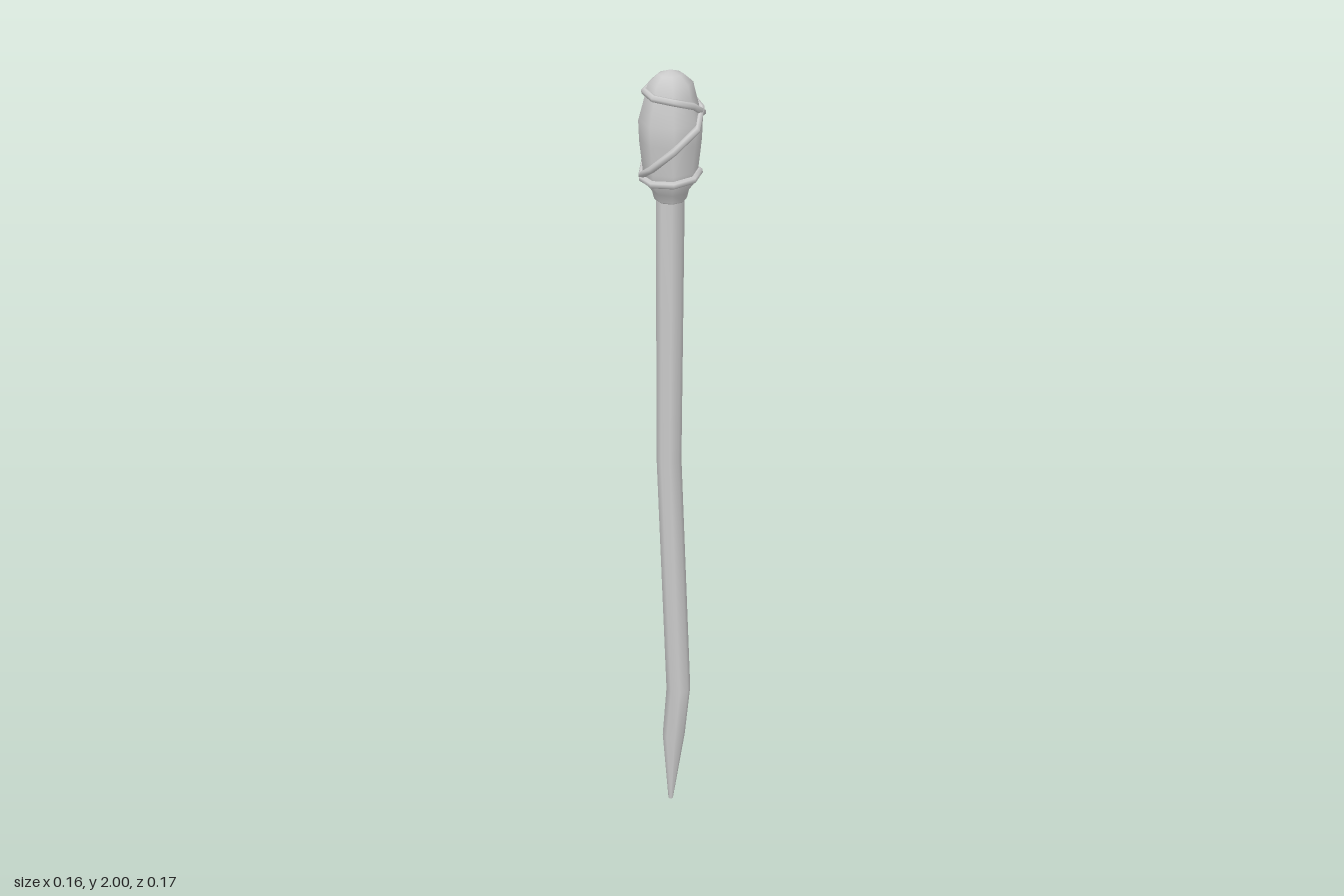
import * as THREE from 'three';
import { mergeVertices } from 'three/addons/utils/BufferGeometryUtils.js';

const SIDES = 8;
const material = new THREE.MeshStandardMaterial({ color: 0xcccccc, side: THREE.DoubleSide });

// Rows run from bottom to top: [height, radius, sideways shift of the centre]
function bentLathe(name, rows) {
  const profile = rows.map(([y, r]) => new THREE.Vector2(r, y));
  let geo = new THREE.LatheGeometry(profile, SIDES);
  const pos = geo.attributes.position;
  for (let i = 0; i < pos.count; i++) {
    pos.setX(i, pos.getX(i) + (rows[i % rows.length][2] || 0));
  }
  geo.deleteAttribute('uv');
  geo.deleteAttribute('normal');
  geo = mergeVertices(geo, 1e-5);
  geo.computeVertexNormals();
  const mesh = new THREE.Mesh(geo, material);
  mesh.name = name;
  return mesh;
}

// Radius of a profile at a given height
function radiusAt(rows, y) {
  for (let i = 1; i < rows.length; i++) {
    const [y0, r0] = rows[i - 1], [y1, r1] = rows[i];
    if (y <= y1) return r0 + (r1 - r0) * (y - y0) / (y1 - y0);
  }
  return 0;
}

export function createModel() {
  const group = new THREE.Group();
  group.name = 'torch';

  // Crooked stick, sharpened at the foot
  group.add(bentLathe('shaft', [
    [0, 0, 0], [0.003, 0.006, 0], [0.2, 0.029, 0.008], [0.34, 0.031, 0.02],
    [1.0, 0.031, -0.004], [1.4, 0.033, -0.002], [1.72, 0.034, 0],
  ]));

  // Wrapped head with a narrow collar and a domed top
  const head = [
    [1.68, 0.033], [1.685, 0.039], [1.705, 0.044], [1.73, 0.064], [1.76, 0.066], [1.83, 0.074],
    [1.88, 0.076], [1.94, 0.06], [1.97, 0.053], [1.99, 0.03], [2.0, 0],
  ];
  group.add(bentLathe('head', head));

  // One cord: a ring at the base, up across the front, round the top, down the back.
  // Heights are at eighth turns, going left, front, right, back.
  const heights = [
    1.737, 1.737, 1.74, 1.745, 1.75, 1.75, 1.745, 1.74,
    1.745, 1.775, 1.825, 1.87, 1.905, 1.93, 1.945, 1.95,
    1.95, 1.945, 1.94, 1.925, 1.895, 1.86, 1.83, 1.79, 1.745,
  ];
  const points = heights.map((y, i) => {
    const a = i * Math.PI * 2 / SIDES;
    const r = radiusAt(head, y) + 0.003;
    return new THREE.Vector3(-Math.cos(a) * r, y, Math.sin(a) * r);
  });
  const path = new THREE.CatmullRomCurve3(points);
  // Sample exactly at the corners so the cord follows the flat faces
  path.getPointAt = (t, target) => path.getPoint(t, target);
  path.getTangentAt = (t, target) => path.getTangent(t, target);
  const cord = new THREE.Mesh(new THREE.TubeGeometry(path, points.length - 1, 0.009, 6), material);
  cord.name = 'cord';
  group.add(cord);

  return group;
}
